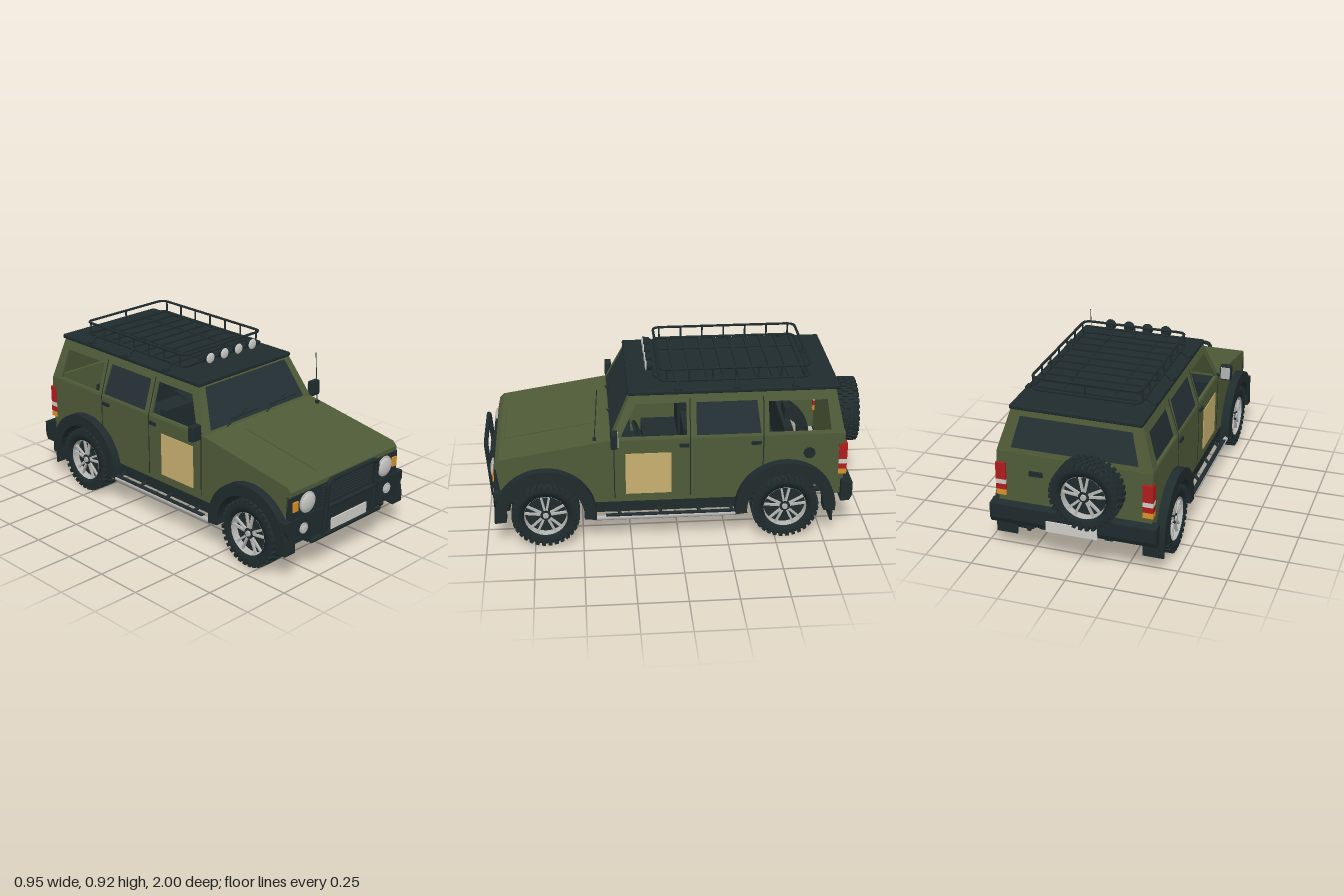
import * as THREE from 'three';
import { mergeGeometries } from 'three/addons/utils/BufferGeometryUtils.js';
import { RoundedBoxGeometry } from 'three/addons/geometries/RoundedBoxGeometry.js';

const V = (x, y, z) => new THREE.Vector3(x, y, z);

export function createModel() {
  const mat = (name, color, side = THREE.FrontSide) => {
    const m = new THREE.MeshStandardMaterial({ color, side });
    m.name = name;
    return m;
  };
  const green = mat('olive paint', 0x4f5b38, THREE.DoubleSide);
  const dark = mat('black trim', 0x1f2b2d, THREE.DoubleSide);
  const glass = mat('dark glass', 0x253135, THREE.DoubleSide);
  const silver = mat('silver', 0xb4b4b2, THREE.DoubleSide);
  const lens = mat('lamp glass', 0xc9c9c4);
  const white = mat('plate white', 0xcfcec6);
  const amber = mat('amber', 0xd8922a);
  const red = mat('red lamp', 0xb01c1c);
  const tan = mat('tan panel', 0xc8b070);

  const model = new THREE.Group();
  model.name = 'offRoader';
  const add = (name, geo, m, parent = model) => {
    const mesh = new THREE.Mesh(geo, m);
    mesh.name = name;
    parent.add(mesh);
    return mesh;
  };
  // Box given by its limits
  const box = (name, m, x0, x1, y0, y1, z0, z1) => add(name, new THREE.BoxGeometry(x1 - x0, y1 - y0, z1 - z0)
    .translate((x0 + x1) / 2, (y0 + y1) / 2, (z0 + z1) / 2), m);
  // Straight round bar between two points
  const rod = (name, m, a, b, r = 0.007, parent = model) => {
    const d = b.clone().sub(a);
    const mesh = add(name, new THREE.CylinderGeometry(r, r, d.length(), 10), m, parent);
    mesh.position.copy(a).add(b).multiplyScalar(0.5);
    mesh.quaternion.setFromUnitVectors(V(0, 1, 0), d.normalize());
    return mesh;
  };
  // Bent bar with rounded corners
  const bentBar = (name, m, pts, r, bend, closed = false) => {
    const path = new THREE.CurvePath(), n = pts.length;
    const toward = (a, b) => a.clone().add(b.clone().sub(a).setLength(bend));
    for (let i = 0; i < (closed ? n : n - 1); i++) {
      const a = pts[i], b = pts[(i + 1) % n], c = pts[(i + 2) % n];
      const start = closed || i > 0 ? toward(a, b) : a;
      const turn = closed || i < n - 2;
      path.add(new THREE.LineCurve3(start, turn ? toward(b, a) : b));
      if (turn) path.add(new THREE.QuadraticBezierCurve3(toward(b, a), b, toward(b, c)));
    }
    return add(name, new THREE.TubeGeometry(path, 120, r, 8, closed), m);
  };
  const poly = (pts) => new THREE.Shape(pts.map(([u, v]) => new THREE.Vector2(u, v)));
  // Extrudes a (z, y) shape from x0 to x1
  const acrossX = (shape, x0, x1) => new THREE.ExtrudeGeometry(shape, { depth: x1 - x0, bevelEnabled: false, curveSegments: 28 })
    .rotateY(-Math.PI / 2).translate(x1, 0, 0);
  const quad = (name, m, a, b, c, d) => {
    const g = new THREE.BufferGeometry().setFromPoints([a, b, c, a, c, d]);
    g.computeVertexNormals();
    return add(name, g, m);
  };
  // Leans the cabin sides inward above the waistline
  const lean = (g, s) => {
    const p = g.attributes.position;
    for (let i = 0; i < p.count; i++) p.setX(i, p.getX(i) - s * Math.max(0, p.getY(i) - 0.58) * 0.3);
    g.computeVertexNormals();
    return g;
  };
  // Extrusion of a side part lying between distances a and b from the middle
  const sideGeo = (shape, s, a, b) => (s > 0 ? acrossX(shape, a, b) : acrossX(shape, -b, -a));

  const FRONT = 0.69, REAR = -0.55, AXLE = 0.178;
  const ang = Math.asin(0.052 / 0.22);
  const lower = new THREE.Shape().moveTo(0.93, 0.23);
  for (const z of [FRONT, REAR]) lower.absarc(z, AXLE, 0.22, ang, Math.PI - ang, false);
  [[-0.84, 0.23], [-0.855, 0.54], [-0.85, 0.58], [0.36, 0.58], [0.915, 0.49], [0.935, 0.47]].forEach(([z, y]) => lower.lineTo(z, y));

  const frontWindow = [[0.3, 0.592], [0.215, 0.757], [-0.04, 0.757], [-0.04, 0.592]];
  const midWindow = [[-0.09, 0.592], [-0.09, 0.757], [-0.4, 0.757], [-0.42, 0.592]];
  const rearWindow = [[-0.46, 0.592], [-0.46, 0.75], [-0.76, 0.75], [-0.78, 0.592]];
  const upper = poly([[0.35, 0.58], [0.245, 0.8], [-0.805, 0.8], [-0.85, 0.58]]);
  upper.holes = [frontWindow, midWindow, rearWindow].map(poly);

  for (const s of [1, -1]) {
    // Body sides
    add('lowerSide', sideGeo(lower, s, 0.38, 0.4), green);
    add('upperSide', lean(sideGeo(upper, s, 0.385, 0.4), s), green);
    add('rearDoorGlass', lean(sideGeo(poly(midWindow), s, 0.388, 0.394), s), glass);
    add('doorPanel', sideGeo(poly([[0.275, 0.275], [0.04, 0.275], [0.04, 0.505], [0.275, 0.505]]), s, 0.398, 0.404), tan);
    // Door gaps
    for (const [z, y0, y1] of [[0.335, 0.25, 0.58], [-0.055, 0.25, 0.58], [-0.055, 0.58, 0.775], [-0.43, 0.41, 0.58], [-0.43, 0.58, 0.775]])
      add('doorGap', lean(sideGeo(poly([[z, y0], [z, y1], [z - 0.005, y1], [z - 0.005, y0]]), s, 0.396, 0.401), s), dark);
    for (const z of [0, -0.37]) add('doorHandle', sideGeo(poly([[z, 0.535], [z, 0.552], [z - 0.05, 0.552], [z - 0.05, 0.535]]), s, 0.4, 0.41), dark);
    add('sill', sideGeo(poly([[0.47, 0.17], [0.44, 0.24], [-0.32, 0.24], [-0.35, 0.17]]), s, 0.36, 0.398), dark);
    // Wheel arches and inner liners
    for (const z of [FRONT, REAR]) {
      const arch = new THREE.Shape().absarc(z, AXLE, 0.262, -0.1, Math.PI + 0.1, false);
      arch.absarc(z, AXLE, 0.2, Math.PI + 0.1, -0.1, true);
      add('wheelArch', sideGeo(arch, s, 0.375, 0.447), dark);
      const liner = new THREE.Shape().absarc(z, AXLE, 0.225, 0, Math.PI, false);
      liner.absarc(z, AXLE, 0.212, Math.PI, 0, true);
      add('archLiner', sideGeo(liner, s, 0.24, 0.38), dark);
    }
    box('mudFlap', dark, s * 0.385 - 0.055, s * 0.385 + 0.055, 0.09, 0.25, -0.8, -0.788);
    // Side step
    rod('stepTube', silver, V(s * 0.432, 0.155, 0.44), V(s * 0.432, 0.155, -0.32), 0.013);
    box('stepTread', dark, s * 0.432 - 0.011, s * 0.432 + 0.011, 0.166, 0.173, -0.29, 0.38);
    for (const z of [0.33, 0.12, -0.08, -0.25]) rod('stepBracket', dark, V(s * 0.37, 0.2, z), V(s * 0.43, 0.16, z - 0.03), 0.009);
    // Door mirror
    const mirror = add('mirrorHousing', new RoundedBoxGeometry(0.062, 0.082, 0.035, 2, 0.006), dark);
    mirror.position.set(s * 0.445, 0.61, 0.332);
    box('mirrorGlass', silver, s * 0.445 - 0.025, s * 0.445 + 0.025, 0.577, 0.643, 0.311, 0.316);
    rod('mirrorArm', dark, V(s * 0.39, 0.592, 0.325), V(s * 0.44, 0.592, 0.332), 0.008);
    // Headlamp, indicator and fog lamp
    for (const [name, x, y, r, z] of [['headlamp', 0.293, 0.395, 0.05, 0.95], ['fogLamp', 0.317, 0.265, 0.024, 0.952]]) {
      add(name + 'Ring', new THREE.TorusGeometry(r, 0.005, 8, 32).translate(s * x, y, z), silver);
      add(name, new THREE.SphereGeometry(r, 28, 8, 0, Math.PI * 2, 0, Math.PI / 2).scale(1, 0.3, 1).rotateX(Math.PI / 2).translate(s * x, y, z), lens);
    }
    box('indicator', amber, s * 0.374 - 0.017, s * 0.374 + 0.017, 0.37, 0.42, 0.93, 0.951);
    // Tail lamp
    const tail = (m, y0, y1) => box('tailLamp', m, s * 0.378 - 0.026, s * 0.378 + 0.026, y0, y1, -0.868, -0.825);
    tail(red, 0.43, 0.52); tail(white, 0.405, 0.43); tail(red, 0.375, 0.405); tail(amber, 0.345, 0.375);
    // Chassis rail
    box('chassisRail', dark, s * 0.17 - 0.022, s * 0.17 + 0.022, 0.165, 0.21, -0.84, 0.88);
  }
  add('fuelCap', new THREE.CylinderGeometry(0.03, 0.03, 0.012, 24).rotateZ(Math.PI / 2).translate(0.403, 0.475, -0.67), dark);

  // Bonnet with raised centre, and nose
  const strip = [[0.938, 0.44], [0.938, 0.47], [0.915, 0.493], [0.35, 0.583], [0.35, 0.56], [0.9, 0.472], [0.91, 0.44]];
  add('bonnet', acrossX(poly(strip), -0.4, 0.4), green);
  add('bonnetCentre', acrossX(poly([[0.9, 0.49], [0.89, 0.501], [0.42, 0.576], [0.41, 0.57]]), -0.165, 0.165), green);
  box('noseBack', green, -0.385, 0.385, 0.3, 0.45, 0.9, 0.925);
  box('frontPanel', dark, -0.4, 0.4, 0.32, 0.448, 0.91, 0.943);
  for (let i = 0; i < 7; i++) box('grilleSlat', dark, -0.19, 0.19, 0.343 + i * 0.015, 0.351 + i * 0.015, 0.94, 0.957);

  // Front bumper, plate and bull bar
  const bumper = poly([[-0.4, 0.2], [0.4, 0.2], [0.445, 0.28], [0.445, 0.325], [-0.445, 0.325], [-0.445, 0.28]]);
  add('frontBumper', new THREE.ExtrudeGeometry(bumper, { depth: 0.08, bevelEnabled: false }).translate(0, 0, 0.87), dark);
  box('bumperValance', dark, -0.26, 0.26, 0.16, 0.2, 0.86, 0.93);
  box('frontPlate', white, -0.133, 0.133, 0.2, 0.257, 0.965, 0.972);
  box('plateHolder', dark, -0.12, 0.12, 0.21, 0.25, 0.945, 0.966);
  bentBar('bullBar', dark, [V(-0.185, 0.18, 0.965), V(-0.185, 0.485, 0.988), V(0.185, 0.485, 0.988), V(0.185, 0.18, 0.965)], 0.012, 0.035);
  rod('bullBarCross', dark, V(-0.185, 0.335, 0.975), V(0.185, 0.335, 0.975), 0.009);
  rod('bullBarFoot', dark, V(-0.26, 0.175, 0.95), V(0.26, 0.175, 0.95), 0.014);

  // Windscreen
  const screen = (y, x, off = 0) => V(x, y, 0.35 - (y - 0.58) * 0.477 + off);
  const panel = (name, m, f, y0, x0, y1, x1, off) => quad(name, m, f(y0, -x0, off), f(y0, x0, off), f(y1, x1, off), f(y1, -x1, off));
  panel('windscreenFrame', green, screen, 0.58, 0.4, 0.8, 0.334, 0);
  panel('windscreen', glass, screen, 0.596, 0.345, 0.79, 0.292, 0.004);
  for (const x of [-0.24, 0.05]) {
    rod('wiperArm', dark, screen(0.592, x, 0.012), screen(0.642, x + 0.18, 0.012), 0.003);
    rod('wiperBlade', dark, screen(0.617, x + 0.04, 0.01), screen(0.62, x + 0.24, 0.01), 0.004);
  }
  rod('antenna', dark, V(0.364, 0.57, 0.43), V(0.364, 0.85, 0.41), 0.002);
  box('antennaBase', dark, 0.356, 0.372, 0.57, 0.585, 0.42, 0.437);

  // Tailgate
  const back = (y, x, off = 0) => V(-x, y, -0.85 + (y - 0.58) * 0.205 - off);
  panel('tailgateUpper', green, back, 0.58, 0.4, 0.8, 0.334, 0);
  panel('rearWindow', glass, back, 0.605, 0.325, 0.765, 0.285, 0.004);
  box('tailgate', green, -0.395, 0.395, 0.23, 0.582, -0.855, -0.835);
  box('tailgateHandle', dark, 0.16, 0.23, 0.47, 0.495, -0.865, -0.855);
  const rearBumper = poly([[-0.84, 0.2], [-0.885, 0.2], [-0.9, 0.23], [-0.9, 0.305], [-0.84, 0.315]]);
  add('rearBumper', acrossX(rearBumper, -0.43, 0.43), dark);
  box('rearPlate', white, -0.133, 0.133, 0.2, 0.257, -0.907, -0.9);
  box('spareCarrier', dark, -0.17, -0.03, 0.39, 0.56, -0.9, -0.85);

  // Roof
  const roof = add('roof', new RoundedBoxGeometry(0.676, 0.024, 1.08, 2, 0.008), dark);
  roof.position.set(0, 0.809, -0.285);

  // Roof rack
  const Z0 = 0.09, Z1 = -0.68, X = 0.28;
  for (const y of [0.85, 0.912])
    bentBar('rackRail', dark, [V(-X, y, Z0), V(X, y, Z0), V(X, y, Z1), V(-X, y, Z1)], 0.007, 0.04, true);
  for (const s of [1, -1]) {
    for (let i = 0; i < 7; i++) {
      const z = Z0 - 0.035 - i * 0.117;
      rod('rackPost', dark, V(s * X, 0.85, z), V(s * X, 0.912, z), 0.005);
    }
    for (const z of [0, -0.3, -0.6]) {
      rod('rackLeg', dark, V(s * 0.28, 0.848, z), V(s * 0.328, 0.822, z), 0.008);
      box('rackFoot', dark, s * 0.322 - 0.014, s * 0.322 + 0.014, 0.814, 0.828, z - 0.02, z + 0.02);
    }
    rod('rackRunner', dark, V(s * 0.13, 0.848, Z0), V(s * 0.13, 0.848, Z1), 0.005);
  }
  for (const z of [Z0, Z1]) rod('rackEndPost', dark, V(0, 0.85, z), V(0, 0.912, z), 0.005);
  for (let i = 0; i < 9; i++) box('rackSlat', dark, -X, X, 0.847, 0.857, 0.005 - i * 0.083, 0.017 - i * 0.083);
  bentBar('lampBar', dark, [V(-0.245, 0.85, 0.1), V(-0.245, 0.87, 0.12), V(0.245, 0.87, 0.12), V(0.245, 0.85, 0.1)], 0.005, 0.01);
  for (const x of [-0.155, -0.053, 0.05, 0.153]) {
    add('roofLamp', new THREE.CylinderGeometry(0.03, 0.02, 0.03, 24).rotateX(Math.PI / 2).translate(x, 0.883, 0.135), dark);
    add('roofLampLens', new THREE.SphereGeometry(0.028, 20, 6, 0, Math.PI * 2, 0, Math.PI / 2).scale(1, 0.3, 1).rotateX(Math.PI / 2).translate(x, 0.883, 0.15), lens);
  }

  // Interior
  box('floor', dark, -0.37, 0.37, 0.21, 0.235, -0.34, 0.47);
  box('rearFloor', dark, -0.25, 0.25, 0.21, 0.25, -0.84, -0.34);
  box('engineTray', dark, -0.25, 0.25, 0.2, 0.24, 0.47, 0.9);
  box('dashboard', dark, -0.375, 0.375, 0.42, 0.572, 0.24, 0.34);
  for (const s of [1, -1]) {
    box('seatCushion', dark, s * 0.19 - 0.11, s * 0.19 + 0.11, 0.235, 0.36, -0.06, 0.16);
    box('seatBack', dark, s * 0.19 - 0.11, s * 0.19 + 0.11, 0.3, 0.58, -0.08, -0.03);
    box('headrest', dark, s * 0.19 - 0.06, s * 0.19 + 0.06, 0.6, 0.66, -0.585, -0.56);
    rod('headrestPost', dark, V(s * 0.19, 0.56, -0.572), V(s * 0.19, 0.61, -0.572), 0.006);
  }
  box('rearBench', dark, -0.3, 0.3, 0.235, 0.37, -0.56, -0.34);
  box('rearBenchBack', dark, -0.3, 0.3, 0.3, 0.575, -0.595, -0.55);
  const steering = add('steeringWheel', new THREE.TorusGeometry(0.06, 0.008, 8, 28), dark);
  steering.position.set(0.19, 0.52, 0.2);
  steering.rotation.x = 0.4;

  // Underside
  for (const z of [FRONT, REAR]) {
    rod('axle', dark, V(-0.34, AXLE, z), V(0.34, AXLE, z), 0.022);
    add('differential', new THREE.SphereGeometry(0.046, 20, 14).translate(-0.115, AXLE, z), dark);
  }
  box('transferCase', dark, 0, 0.09, 0.122, 0.21, -0.02, 0.16);
  rod('propShaft', dark, V(-0.1, AXLE, FRONT), V(0, 0.18, 0.12), 0.014);
  rod('propShaft', dark, V(0, 0.18, 0.05), V(-0.1, AXLE, REAR), 0.014);
  rod('exhaust', dark, V(0.24, 0.17, 0.2), V(0.24, 0.17, -0.86), 0.014);
  for (const z of [0.82, 0.35, -0.25, -0.76]) box('crossMember', dark, -0.17, 0.17, 0.175, 0.205, z - 0.02, z + 0.02);

  // Wheels, outer face toward +x
  const tyreProfile = [[0.113, -0.054], [0.15, -0.06], [0.165, -0.052], [0.167, 0], [0.165, 0.052], [0.15, 0.06], [0.113, 0.054], [0.113, -0.054]];
  const tyreGeo = new THREE.LatheGeometry(tyreProfile.map(([r, y]) => new THREE.Vector2(r, y)), 48).rotateZ(-Math.PI / 2);
  const knobs = [];
  for (let i = 0; i < 32; i++) for (let j = 0; j < 4; j++) {
    const outer = j === 0 || j === 3;
    knobs.push(new THREE.BoxGeometry(outer ? 0.03 : 0.026, outer ? 0.026 : 0.014, 0.019)
      .translate((j - 1.5) * 0.03, outer ? 0.162 : 0.169, 0).rotateX((i + (j % 2) * 0.5) * Math.PI / 16));
  }
  const knobGeo = mergeGeometries(knobs);
  const spokes = [];
  for (let i = 0; i < 5; i++) for (const k of [-1, 1])
    spokes.push(new THREE.BoxGeometry(0.012, 0.085, 0.011).translate(0.04, 0.066, 0).rotateX(i * Math.PI * 0.4 + k * 0.2));
  const spokeGeo = mergeGeometries(spokes);
  const wheel = (name, x, y, z, turn) => {
    const g = new THREE.Group();
    g.name = name;
    add('tyre', tyreGeo, dark, g);
    add('tread', knobGeo, dark, g);
    add('rimBarrel', new THREE.CylinderGeometry(0.112, 0.108, 0.045, 40, 1, true).rotateZ(-Math.PI / 2).translate(0.032, 0, 0), silver, g);
    add('rimDisc', new THREE.CylinderGeometry(0.111, 0.111, 0.04, 40).rotateZ(Math.PI / 2).translate(-0.005, 0, 0), dark, g);
    add('spokes', spokeGeo, silver, g);
    add('hub', new THREE.CylinderGeometry(0.028, 0.028, 0.03, 20).rotateZ(Math.PI / 2).translate(0.032, 0, 0), dark, g);
    add('hubCap', new THREE.CylinderGeometry(0.014, 0.016, 0.012, 20).rotateZ(-Math.PI / 2).translate(0.05, 0, 0), silver, g);
    g.position.set(x, y, z);
    g.rotation.y = turn;
    model.add(g);
  };
  for (const z of [FRONT, REAR]) {
    wheel('leftWheel', 0.378, AXLE, z, 0);
    wheel('rightWheel', -0.378, AXLE, z, Math.PI);
  }
  wheel('spareWheel', -0.098, 0.475, -0.94, Math.PI / 2);
  return model;
}
